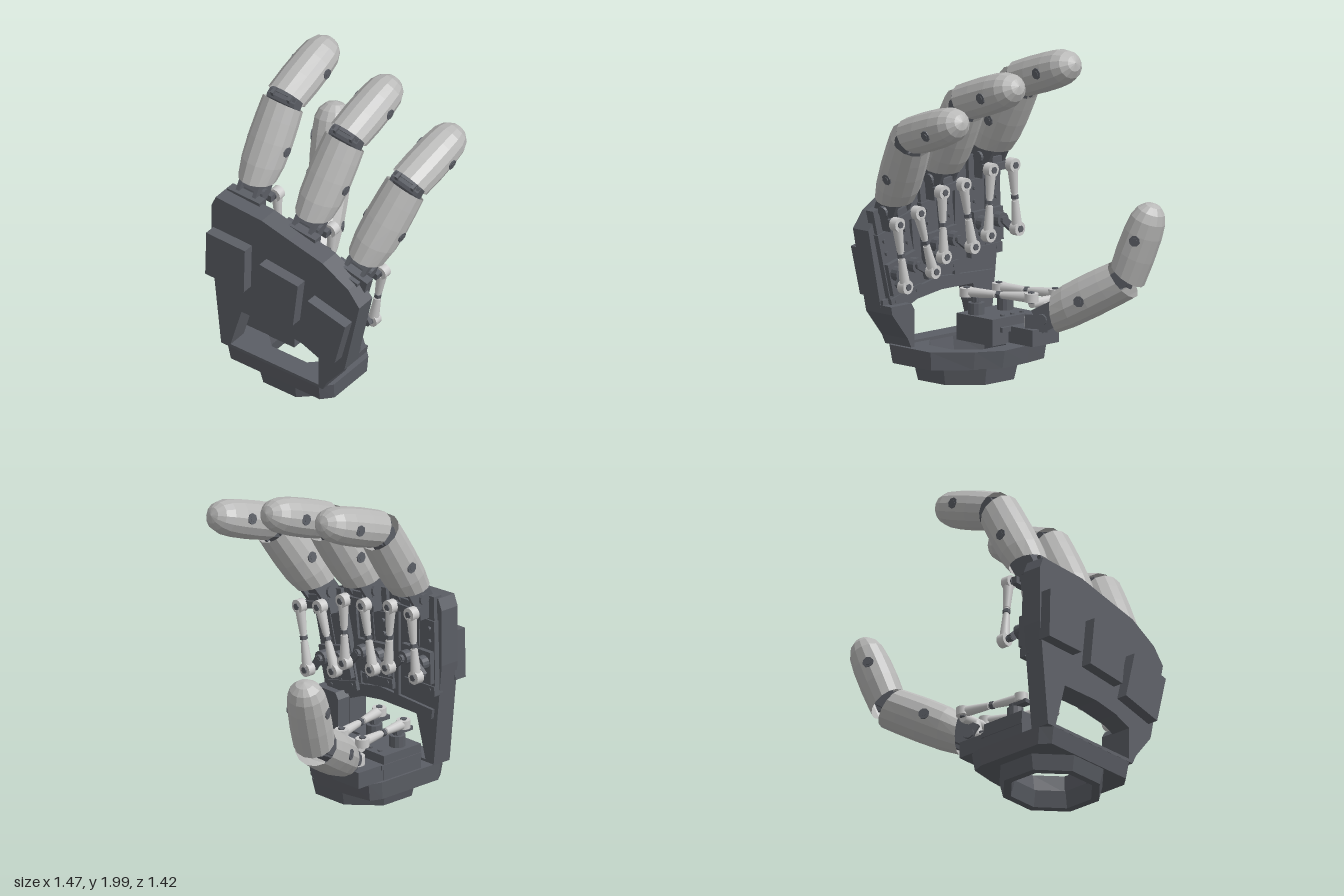
import * as THREE from 'three';

const shellMat = new THREE.MeshStandardMaterial({ color: 0xb8b8b7, flatShading: true, side: THREE.DoubleSide });
const darkMat = new THREE.MeshStandardMaterial({ color: 0x5b5e65, flatShading: true, side: THREE.DoubleSide });
const rodMat = new THREE.MeshStandardMaterial({ color: 0xcccccc });

function add(parent, name, geo, mat, x = 0, y = 0, z = 0) {
  const m = new THREE.Mesh(geo, mat);
  m.name = name;
  m.position.set(x, y, z);
  parent.add(m);
  return m;
}
const box = (p, name, sx, sy, sz, x, y, z) => add(p, name, new THREE.BoxGeometry(sx, sy, sz), darkMat, x, y, z);

// Cylinder between two points, optionally tapered
function bar(p, name, a, b, r, mat, sides = 12, rEnd = r) {
  const A = new THREE.Vector3(...a), B = new THREE.Vector3(...b), d = B.clone().sub(A);
  const m = add(p, name, new THREE.CylinderGeometry(rEnd, r, d.length(), sides), mat);
  m.position.copy(A).add(B).multiplyScalar(0.5);
  m.quaternion.setFromUnitVectors(new THREE.Vector3(0, 1, 0), d.normalize());
  return m;
}

// Ball-ended linkage rod, thicker at the ends, with a lock nut
function linkage(p, a, b, eye) {
  const g = new THREE.Group();
  g.name = 'linkageRod';
  p.add(g);
  const lerp = (t) => a.map((v, i) => v + (b[i] - v) * t);
  bar(g, 'rodShaft', lerp(0.05), lerp(0.95), 0.017, rodMat);
  bar(g, 'rodSleeve', lerp(0.06), lerp(0.44), 0.032, rodMat, 12, 0.022);
  bar(g, 'rodSleeve', lerp(0.94), lerp(0.56), 0.032, rodMat, 12, 0.022);
  bar(g, 'rodNut', lerp(0.47), lerp(0.53), 0.024, darkMat, 6);
  for (const e of [a, b]) {
    const along = (k) => e.map((v, i) => v + eye[i] * k);
    bar(g, 'rodEye', along(-0.026), along(0.026), 0.042, rodMat, 16);
    bar(g, 'rodPin', along(-0.034), along(0.034), 0.021, darkMat, 6);
  }
}

// Faceted shell: rows are [height, half depth, half width, slant], bottom to top
function shellGeometry(rows, sides = 14) {
  const n = rows.length - 1;
  const geo = new THREE.CylinderGeometry(1, 1, 1, sides, n, true);
  const pos = geo.attributes.position;
  for (let i = 0; i < pos.count; i++) {
    const [h, rx, rz, slant] = rows[Math.round((pos.getY(i) + 0.5) * n)];
    const x = pos.getX(i);
    pos.setXYZ(i, x * rx, h + x * slant, pos.getZ(i) * rz);
  }
  geo.computeVertexNormals();
  return geo;
}
const lowerRows = [[0.075, 0.116, 0.114, 0.04], [0.18, 0.13, 0.132, 0.02], [0.32, 0.133, 0.138, 0], [0.45, 0.131, 0.135, -0.015], [0.55, 0.127, 0.13, -0.025]];
const tipRows = [[0.025, 0.114, 0.126, 0.03], [0.16, 0.119, 0.129, 0.01], [0.3, 0.116, 0.125, 0], [0.39, 0.106, 0.116, 0],
  [0.445, 0.084, 0.092, 0], [0.48, 0.048, 0.052, 0], [0.493, 0.001, 0.001, 0]];

// Two-segment finger in the xy plane; angles from +x, curl flips the outer side
function finger(name, a1, a2, curl) {
  const g = new THREE.Group();
  g.name = name;
  const segment = (segName, parent, angle, y, rows, screwY, screwZ, boneLen) => {
    const s = new THREE.Group();
    s.name = segName;
    s.position.y = y;
    s.rotation.z = angle;
    parent.add(s);
    add(s, segName + 'Shell', shellGeometry(rows), shellMat).rotation.y = curl > 0 ? 0 : Math.PI;
    box(s, 'innerBone', 0.1, boneLen, 0.13, 0, boneLen / 2, 0);
    for (const k of [-1, 1]) {
      bar(s, 'shellScrew', [0, screwY, k * 0.09], [0, screwY, k * screwZ], 0.034, darkMat, 8);
      bar(s, 'screwHead', [0, screwY, k * 0.09], [0, screwY, k * (screwZ + 0.003)], 0.018, darkMat, 6);
    }
    return s;
  };
  const lower = segment('lowerSegment', g, a1 - Math.PI / 2, 0, lowerRows, 0.29, 0.138, 0.5);
  const tip = segment('tipSegment', lower, a2 - a1, 0.575, tipRows, 0.27, 0.127, 0.2);
  // Knuckle joint between the segments
  bar(tip, 'knucklePin', [0, 0, -0.1], [0, 0, 0.1], 0.045, darkMat, 12);
  for (const k of [-1, 1]) {
    box(lower, 'knucklePlate', 0.1, 0.15, 0.02, curl * 0.01, 0.54, k * 0.085);
    box(tip, 'knuckleArm', 0.13, 0.14, 0.02, 0, 0.04, k * 0.06);
  }
  // Base clevis
  bar(g, 'basePin', [0, 0, -0.09], [0, 0, 0.09], 0.035, darkMat, 12);
  for (const k of [-1, 1]) box(lower, 'basePlate', 0.15, 0.16, 0.025, 0, 0.045, k * 0.06);
  return g;
}

// Slab cut from a (z, y) outline between two x values
function slab(p, name, pts, x0, x1, hole) {
  const V = (q) => new THREE.Vector2(...q);
  const s = new THREE.Shape(pts.map(V));
  if (hole) s.holes.push(new THREE.Path(hole.map(V)));
  const geo = new THREE.ExtrudeGeometry(s, { depth: x1 - x0, bevelEnabled: false });
  geo.rotateY(-Math.PI / 2);
  return add(p, name, geo, darkMat, x1, 0, 0);
}

export function createModel() {
  const hand = new THREE.Group();
  hand.name = 'roboticHand';

  // Palm plate with an open window above the wrist
  slab(hand, 'palmPlate',
    [[0.49, 1.03], [0.3, 1.14], [0.05, 1.2], [-0.15, 1.25], [-0.49, 1.27], [-0.52, 1.2], [-0.52, 0.85], [-0.45, 0.2],
      [0.3, 0.2], [0.33, 0.26], [0.46, 0.42], [0.57, 0.93]], -0.67, -0.54,
    [[0.27, 0.22], [0.27, 0.42], [0.15, 0.47], [-0.02, 0.5], [-0.3, 0.5], [-0.38, 0.22]]);
  slab(hand, 'outerStrut', [[0.275, 0.2], [0.275, 0.43], [0.3, 0.47], [0.47, 0.47], [0.46, 0.42], [0.33, 0.26], [0.3, 0.2]], -0.66, -0.45);
  slab(hand, 'palmLowerRim', [[0.46, 0.42], [0.19, 0.47], [-0.02, 0.5], [-0.45, 0.5], [-0.46, 0.56], [0, 0.58], [0.2, 0.54], [0.47, 0.5]], -0.6, -0.52);
  slab(hand, 'palmRibFar', [[-0.17, 1.22], [-0.13, 1.22], [-0.13, 0.56], [-0.17, 0.56]], -0.56, -0.52);
  slab(hand, 'palmRibNear', [[0.25, 1.14], [0.21, 1.14], [0.15, 0.55], [0.19, 0.55]], -0.56, -0.52);

  // Three fingers, each with its own servos, lug and pair of linkage rods
  const layout = [['thumbSideFinger', 1.24, -0.36, 0.025], ['middleFinger', 1.17, 0.05, 0.115], ['outerFinger', 1.04, 0.43, 0.25]];
  for (const [name, y, z, tilt] of layout) {
    const unit = new THREE.Group();
    unit.name = name + 'Unit';
    unit.position.set(-0.475, y, z);
    unit.rotation.x = tilt;
    hand.add(unit);
    const digit = finger(name, 1.05, 0.335, 1);
    digit.position.set(0.003, 0.03, 0);
    unit.add(digit);
    box(unit, 'baseLug', 0.16, 0.12, 0.15, -0.05, -0.04, 0);
    box(unit, 'lugFoot', 0.06, 0.2, 0.24, -0.07, -0.06, 0);
    box(unit, 'crossArm', 0.05, 0.045, 0.2, 0.07, -0.03, 0);
    box(unit, 'crossArmLink', 0.1, 0.06, 0.08, 0.03, 0, 0);
    box(unit, 'servoLowerFlange', 0.04, 0.06, 0.26, -0.04, -0.55, 0);
    box(unit, 'servoCase', 0.085, 0.31, 0.285, -0.2225, -0.36, 0);
    for (const k of [-1, 1]) {
      box(unit, 'servoPanel', 0.06, 0.46, 0.125, -0.06, -0.34, k * 0.066);
      box(unit, 'servoGearbox', 0.04, 0.2, 0.11, -0.02, -0.4, k * 0.066);
      bar(unit, 'servoHub', [-0.02, -0.37, k * 0.07], [0.05, -0.37, k * 0.07], 0.045, darkMat, 14);
      bar(unit, 'servoHubCap', [0.04, -0.37, k * 0.07], [0.07, -0.37, k * 0.07], 0.025, darkMat, 10);
      box(unit, 'servoArm', 0.025, 0.045, 0.09, 0.06, -0.395, k * 0.095).rotation.x = k * 0.75;
      bar(unit, 'armPin', [0.05, -0.42, k * 0.12], [0.1, -0.42, k * 0.12], 0.018, darkMat, 8);
      linkage(unit, [0.115, -0.03, k * 0.09], [0.115, -0.42, k * 0.12], [1, 0, 0]);
      for (const h of [-0.16, -0.24, -0.545])
        bar(unit, 'panelBolt', [-0.04, h, k * 0.09], [-0.015, h, k * 0.09], 0.013, darkMat, 8);
    }
  }

  // Wrist: polygonal collar, tapered downwards, with a wide opening
  const outline = [[-0.67, 0.27], [-0.6, 0.33], [-0.26, 0.33], [-0.08, 0.14], [0.01, -0.02], [-0.01, -0.25], [-0.04, -0.42], [-0.12, -0.45], [-0.6, -0.45], [-0.67, -0.4]];
  const collar = new THREE.Shape(outline.map(([x, z]) => new THREE.Vector2(x, -z)));
  const hole = new THREE.Path();
  for (let i = 0; i < 8; i++) {
    const a = (i + 0.5) * Math.PI / 4;
    hole[i ? 'lineTo' : 'moveTo'](-0.335 + 0.24 * Math.cos(a), 0.055 + 0.25 * Math.sin(a));
  }
  hole.closePath();
  collar.holes.push(hole);
  const collarGeo = new THREE.ExtrudeGeometry(collar, { depth: 0.11, bevelEnabled: false });
  collarGeo.rotateX(-Math.PI / 2);
  const cp = collarGeo.attributes.position;
  for (let i = 0; i < cp.count; i++) {
    if (cp.getY(i) < 0.01) cp.setXYZ(i, -0.33 + (cp.getX(i) + 0.33) * 0.94, 0, -0.06 + (cp.getZ(i) + 0.06) * 0.98);
  }
  collarGeo.computeVertexNormals();
  add(hand, 'wristCollar', collarGeo, darkMat, 0, 0.095, 0);
  const ring = [[0.235, 0.1], [0.26, 0], [0.31, 0], [0.335, 0.1]].map(([r, y]) => new THREE.Vector2(r, y));
  add(hand, 'wristRing', new THREE.LatheGeometry(ring, 8, Math.PI / 8), darkMat, -0.345, 0, -0.055).scale.set(0.96, 1, 1.02);

  // Thumb drive: servo blocks, hubs and mount
  box(hand, 'thumbServo', 0.3, 0.16, 0.36, -0.3, 0.28, -0.255);
  box(hand, 'thumbServoFlange', 0.32, 0.03, 0.3, -0.29, 0.29, -0.29);
  box(hand, 'thumbMountBlock', 0.2, 0.1, 0.22, -0.05, 0.255, -0.32);
  for (const [x, z] of [[-0.35, -0.14], [-0.33, -0.36]]) {
    bar(hand, 'thumbServoHub', [x, 0.34, z], [x, 0.43, z], 0.05, darkMat, 12);
    bar(hand, 'thumbServoShaft', [x, 0.42, z], [x, 0.46, z], 0.028, darkMat, 10);
    box(hand, 'thumbServoArm', 0.13, 0.025, 0.05, x - 0.04, 0.45, z);
  }
  for (const z of [-0.2, -0.28, -0.36])
    bar(hand, 'mountBolt', [-0.19, 0.35, z], [-0.19, 0.37, z], 0.014, darkMat, 8);
  linkage(hand, [-0.41, 0.485, -0.12], [0.01, 0.495, -0.24], [0, 1, 0]);
  linkage(hand, [-0.38, 0.485, -0.36], [0.02, 0.495, -0.43], [0, 1, 0]);
  bar(hand, 'thumbPost', [-0.04, 0.28, -0.31], [-0.04, 0.36, -0.31], 0.055, rodMat, 14);
  bar(hand, 'thumbCrossArm', [0.01, 0.46, -0.24], [0.02, 0.46, -0.43], 0.03, rodMat, 10);
  bar(hand, 'thumbCrossArmStem', [0.015, 0.46, -0.33], [0, 0.36, -0.32], 0.035, rodMat, 10);

  // Thumb
  const thumbUnit = new THREE.Group();
  thumbUnit.name = 'thumbUnit';
  thumbUnit.position.set(0.05, 0.37, -0.32);
  thumbUnit.rotation.y = 0.44;
  thumbUnit.add(finger('thumb', 0.49, 1.21, -1));
  box(thumbUnit, 'thumbLug', 0.14, 0.1, 0.1, -0.04, -0.03, 0);
  hand.add(thumbUnit);

  return hand;
}
